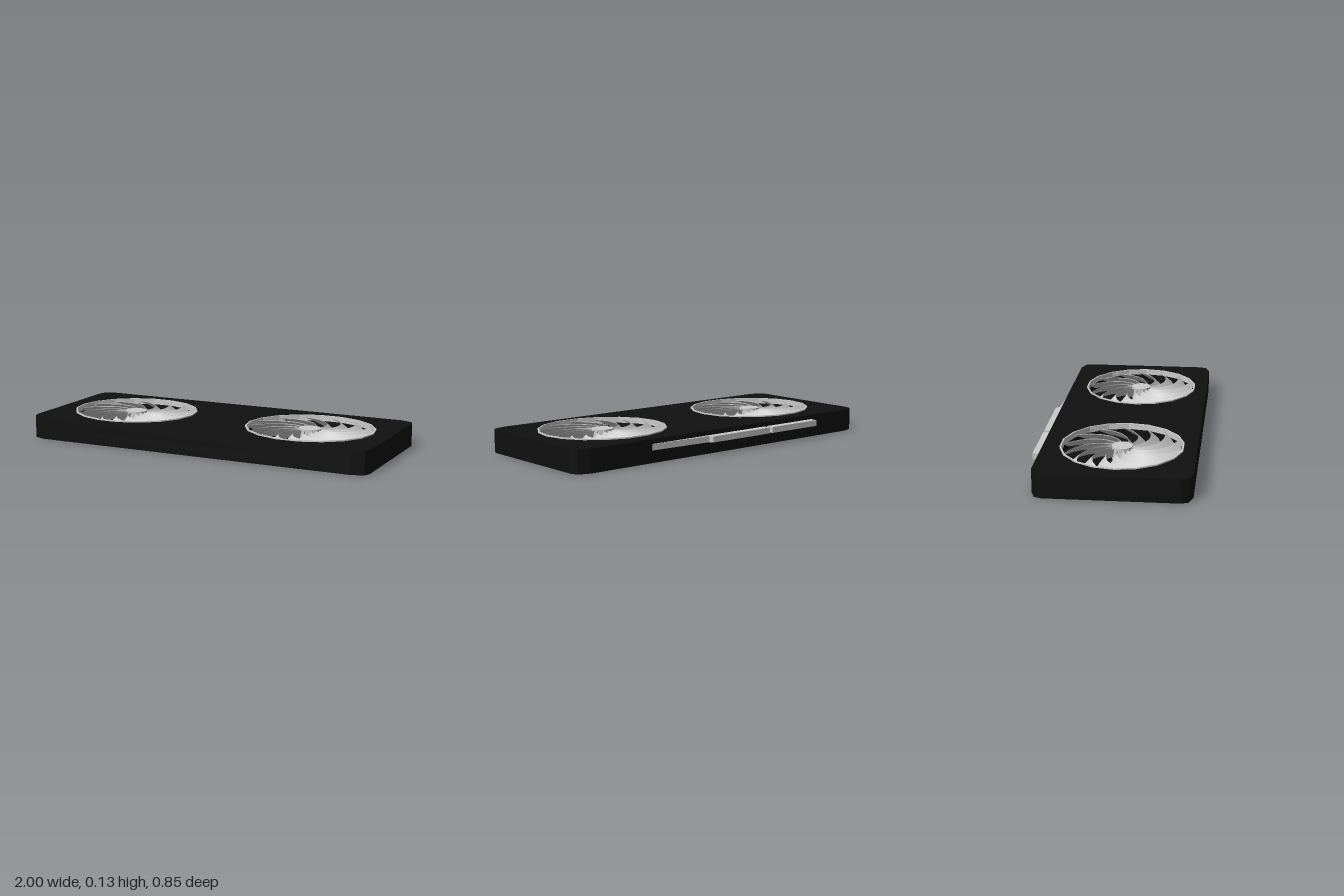
import * as THREE from 'three';

const TOP = 0.125, FLOOR = 0.06;
const FAN_X = 0.54, FAN_Z = 0.033, FAN_R = 0.36, SQUASH = 0.905, SIDES = 18;
const BLADES = 14;

const black = new THREE.MeshStandardMaterial({ color: 0x101010, flatShading: true });
const grey = new THREE.MeshStandardMaterial({ color: 0xcccccc, flatShading: true });
const smoothGrey = new THREE.MeshStandardMaterial({ color: 0xcccccc });

function add(parent, name, geometry, material) {
  const mesh = new THREE.Mesh(geometry, material);
  mesh.name = name;
  parent.add(mesh);
  return mesh;
}

// Polygon ring of points around (cx, cy)
function ringPoints(r, cx = 0, cy = 0, squash = 1) {
  return Array.from({ length: SIDES }, (_, i) => {
    const a = (i / SIDES) * Math.PI * 2;
    return new THREE.Vector2(cx + r * Math.cos(a), cy + r * squash * Math.sin(a));
  });
}

// Extrudes a plan shape (x, -z) upward from y0 to y1
function slab(shape, y0, y1) {
  const g = new THREE.ExtrudeGeometry(shape, { depth: y1 - y0, bevelEnabled: false });
  return g.rotateX(-Math.PI / 2).translate(0, y0, 0);
}

// Plan outline of the housing with faceted corners
function bodyOutline() {
  const hz = 0.403, mid = -0.022;
  const corner = [[1, hz - 0.06], [0.985, hz - 0.022], [0.92, hz]];
  const back = corner.slice().reverse();
  const pts = [
    ...corner,
    ...back.map(([x, y]) => [-x, y]),
    ...corner.map(([x, y]) => [-x, -y]),
    ...back.map(([x, y]) => [x, -y]),
  ];
  return new THREE.Shape(pts.map(([x, y]) => new THREE.Vector2(x, y + mid)));
}

// Swept, pitched fan blade: a thin box bent around the hub
function bladeGeometry() {
  const g = new THREE.BoxGeometry(1, 0.004, 1, 12, 1, 4);
  const p = g.attributes.position;
  for (let i = 0; i < p.count; i++) {
    const u = p.getX(i) + 0.5, v = p.getZ(i);
    const r = 0.05 + 0.295 * u;
    const angle = 0.95 * Math.pow(u, 1.25) - v * (0.24 + 0.06 * u);
    const y = 0.097 - v * 0.045 + p.getY(i) + 0.006 * (0.25 - v * v);
    p.setXYZ(i, r * Math.cos(angle), y, -r * Math.sin(angle));
  }
  g.computeVertexNormals();
  return g;
}

function createFan() {
  const fan = new THREE.Group();
  fan.name = 'fan';
  fan.scale.z = SQUASH;

  // Thin rim lining the opening
  const rim = new THREE.Shape(ringPoints(FAN_R));
  rim.holes.push(new THREE.Path(ringPoints(FAN_R - 0.009)));
  add(fan, 'fanRim', slab(rim, 0.1, 0.132), grey);

  add(fan, 'fanHub', new THREE.CylinderGeometry(0.061, 0.061, 0.068, 24)
    .translate(0, FLOOR + 0.034, 0), grey);

  const blade = bladeGeometry();
  for (let i = 0; i < BLADES; i++) {
    add(fan, 'fanBlade', blade, smoothGrey).rotation.y = (i / BLADES) * Math.PI * 2;
  }
  return fan;
}

export function createModel() {
  const model = new THREE.Group();
  model.name = 'graphicsCard';

  // Housing: solid base plus upper shroud with two fan wells
  add(model, 'base', slab(bodyOutline(), 0, FLOOR), black);
  const shroud = bodyOutline();
  for (const s of [-1, 1]) {
    shroud.holes.push(new THREE.Path(ringPoints(FAN_R - 0.003, s * FAN_X, -FAN_Z, SQUASH)));
  }
  add(model, 'shroud', slab(shroud, FLOOR, TOP), black);

  // Two fans
  for (const s of [-1, 1]) {
    const fan = createFan();
    fan.position.set(s * FAN_X, 0, FAN_Z);
    model.add(fan);
  }

  // Rail along the back edge: two blocks and a tapering strip, as plan outlines (x, -z)
  const rails = {
    shortRail: [[-0.635, 0.37], [-0.285, 0.37], [-0.285, 0.425], [-0.635, 0.425]],
    longRail: [[-0.265, 0.37], [0.16, 0.37], [0.16, 0.413], [0.15, 0.425], [-0.265, 0.425]],
    taperedRail: [[0.16, 0.37], [0.53, 0.37], [0.53, 0.385], [0.16, 0.403]],
  };
  for (const [name, pts] of Object.entries(rails)) {
    const shape = new THREE.Shape(pts.map(([x, y]) => new THREE.Vector2(x, y)));
    add(model, name, slab(shape, 0.067, 0.1), grey);
  }
  return model;
}
